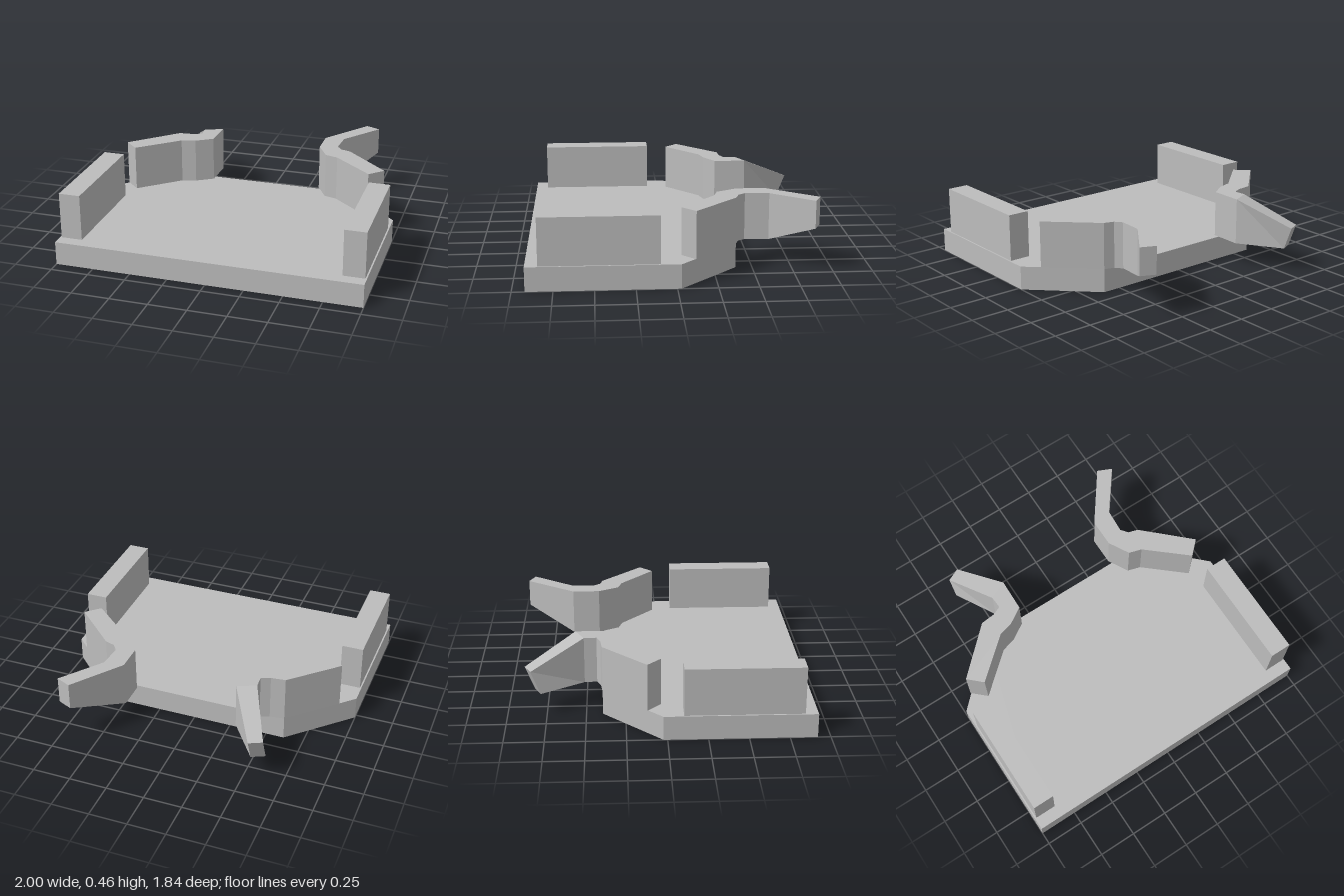
import * as THREE from 'three';

const BASE = 0.155, TOP = 0.46;

// Loft a bent wall through sections: [outerX, outerZ, innerX, innerZ, top, bottom, bottomShiftZ]
function bentWall(sections, flip) {
  const pos = [];
  const rings = sections.map(([ox, oz, ix, iz, top = TOP, bottom = BASE, dz = 0]) => [
    [ox, top, oz], [ix, top, iz], [ix, bottom, iz + dz], [ox, bottom, oz + dz],
  ]);
  const tri = (a, b, c) => pos.push(...a, ...(flip ? c : b), ...(flip ? b : c));
  const quad = (a, b, c, d) => { tri(a, b, c); tri(a, c, d); };
  for (let i = 0; i < rings.length - 1; i++) {
    const p = rings[i], q = rings[i + 1];
    for (let k = 0; k < 4; k++) {
      const n = (k + 1) % 4;
      quad(p[k], q[k], q[n], p[n]);
    }
  }
  const last = rings[rings.length - 1];
  quad(...rings[0]);
  quad(last[3], last[2], last[1], last[0]);
  const geo = new THREE.BufferGeometry();
  geo.setAttribute('position', new THREE.Float32BufferAttribute(pos, 3));
  geo.computeVertexNormals();
  return geo;
}

export function createModel() {
  const group = new THREE.Group();
  const grey = new THREE.MeshStandardMaterial({ color: 0xbcbcbc });
  grey.name = 'plain grey';
  const add = (name, geo) => {
    const mesh = new THREE.Mesh(geo, grey);
    mesh.name = name;
    group.add(mesh);
    return mesh;
  };

  // Base plate with two cut rear corners
  const outline = [[-1, 0.92], [1, 0.92], [1, -0.025], [0.62, -0.395], [-0.62, -0.395], [-1, -0.025]];
  const shape = new THREE.Shape(outline.map(([x, z]) => new THREE.Vector2(x, -z)));
  const plate = new THREE.ExtrudeGeometry(shape, { depth: BASE, bevelEnabled: false });
  plate.rotateX(-Math.PI / 2);
  add('basePlate', plate);

  // Straight walls along both sides
  for (const [name, s] of [['leftSideWall', 1], ['rightSideWall', -1]]) {
    add(name, new THREE.BoxGeometry(0.14, TOP - BASE, 0.74))
      .position.set(s * 0.92, (TOP + BASE) / 2, 0.47);
  }

  // Left bent wall: its arm narrows from below
  add('leftBentWall', bentWall([
    [0.91, -0.12, 0.82, -0.035],
    [0.62, -0.395, 0.56, -0.26],
    [0.555, -0.415, 0.475, -0.285],
    [0.52, -0.46, 0.40, -0.42],
    [0.53, -0.615, 0.40, -0.60],
    [0.73, -0.88, 0.635, -0.922, TOP, 0.28],
  ], false));

  // Right bent wall: its arm slopes down to the tip
  add('rightBentWall', bentWall([
    [-0.91, -0.12, -0.82, -0.035],
    [-0.62, -0.395, -0.56, -0.26],
    [-0.525, -0.405, -0.465, -0.285],
    [-0.465, -0.43, -0.355, -0.355],
    [-0.47, -0.51, -0.35, -0.565],
    [-0.625, -0.845, -0.54, -0.885, 0.30, 0.147, 0.06],
  ], true));

  return group;
}
